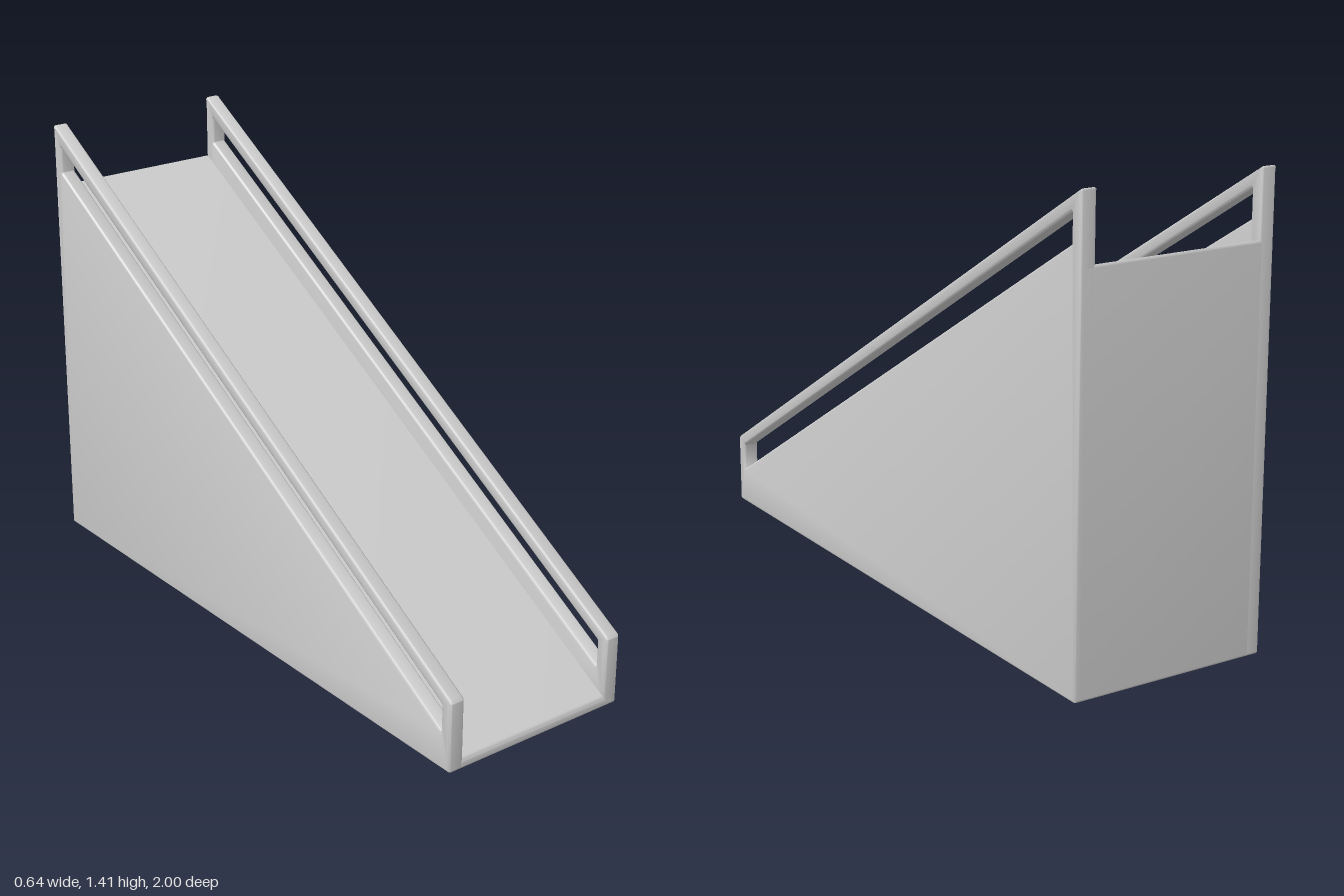
import * as THREE from 'three';
import { toCreasedNormals } from 'three/addons/utils/BufferGeometryUtils.js';

const BEVEL = 0.008;
const material = new THREE.MeshStandardMaterial({ color: 0xcccccc });

// Closed outline through [z, y] corners, each rounded by its own radius
function outline(path, corners) {
  const pts = corners.map(([z, y]) => new THREE.Vector2(z, y));
  const n = pts.length;
  pts.forEach((p, i) => {
    const r = corners[i][2] ?? 0.008;
    const towards = (q) => p.clone().add(q.clone().sub(p).setLength(r));
    const a = towards(pts[(i + n - 1) % n]);
    const b = towards(pts[(i + 1) % n]);
    if (i === 0) path.moveTo(a.x, a.y);
    else path.lineTo(a.x, a.y);
    path.quadraticCurveTo(p.x, p.y, b.x, b.y);
  });
  path.closePath();
  return path;
}

// Extrude a side profile across x, centred on x = 0
function across(shape, width, bevel) {
  const depth = width - 2 * bevel;
  const geometry = new THREE.ExtrudeGeometry(shape, {
    depth,
    curveSegments: 4,
    bevelEnabled: bevel > 0,
    bevelSize: bevel,
    bevelThickness: bevel,
    bevelOffset: -bevel,
    bevelSegments: 3,
  });
  geometry.translate(0, 0, -depth / 2);
  geometry.rotateY(-Math.PI / 2);
  return toCreasedNormals(geometry, 0.7);
}

export function createModel() {
  const group = new THREE.Group();
  group.name = 'ramp';

  // Solid wedge, its sides tucked into the panels
  const wedge = outline(new THREE.Shape(), [
    [1, 0], [1, 0.03, 0.012], [-1, 1.21, 0.012], [-1, 0],
  ]);
  const body = new THREE.Mesh(across(wedge, 0.6, 0), material);
  body.name = 'rampBody';
  group.add(body);

  // Side panels with a long slot below the handrail
  const panel = outline(new THREE.Shape(), [
    [1, 0], [1, 0.225], [-1, 1.41], [-1, 0],
  ]);
  panel.holes.push(outline(new THREE.Path(), [
    [0.96, 0.12, 0.003], [-0.96, 1.258, 0.003], [-0.96, 1.342, 0.003], [0.96, 0.204, 0.003],
  ]));
  const panelGeometry = across(panel, 0.05, BEVEL);
  for (const side of [1, -1]) {
    const mesh = new THREE.Mesh(panelGeometry, material);
    mesh.name = side > 0 ? 'leftSidePanel' : 'rightSidePanel';
    mesh.position.x = side * 0.295;
    group.add(mesh);
  }

  return group;
}
